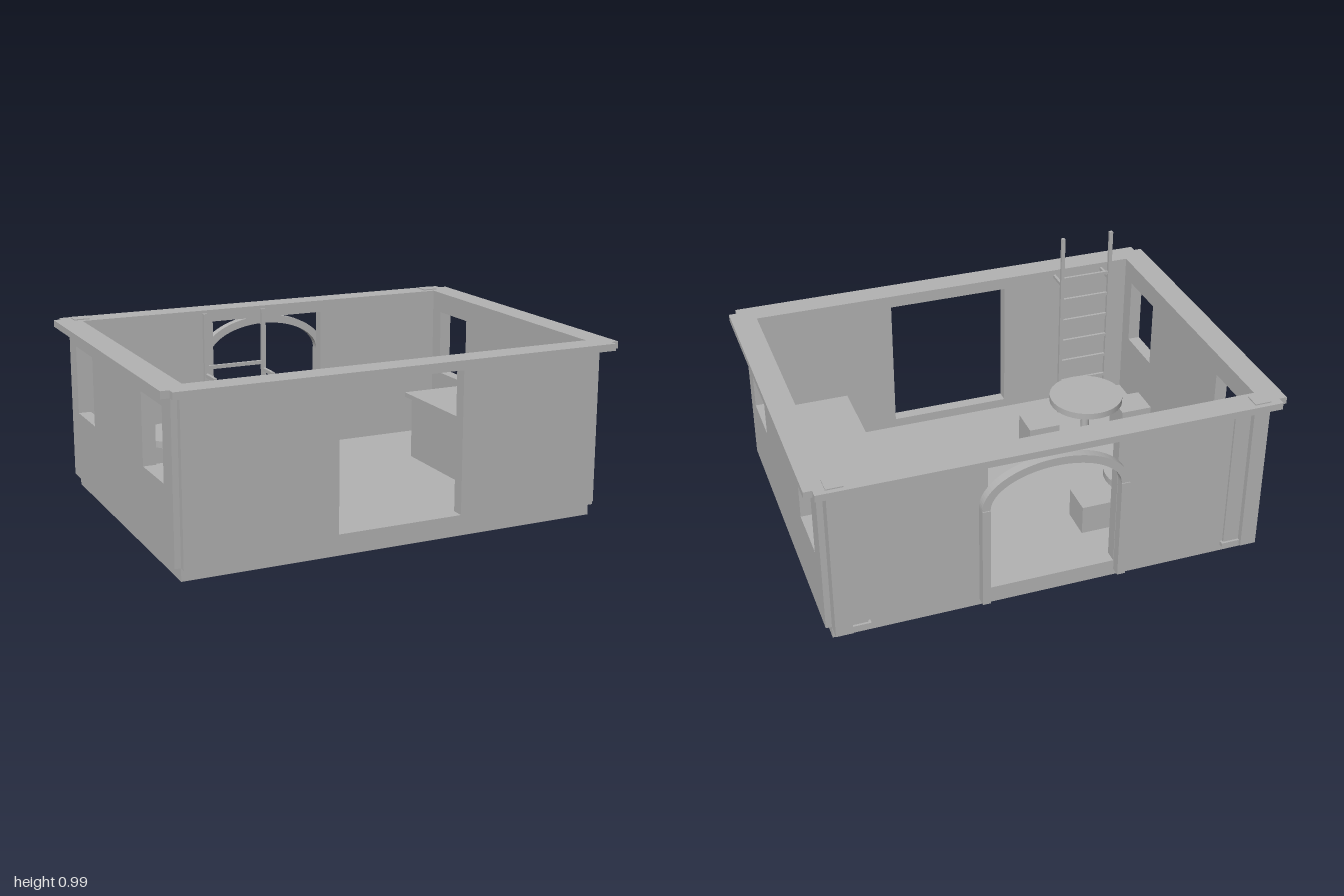
import * as THREE from 'three';

const stone = new THREE.MeshStandardMaterial({ color: 0xb2b2b2 });
stone.name = 'grey';

export function createModel() {
  const root = new THREE.Group();
  root.name = 'openRoofRoom';

  const add = (name, geometry, parent = root) => {
    const mesh = new THREE.Mesh(geometry, stone);
    mesh.name = name;
    parent.add(mesh);
    return mesh;
  };
  // box given by its minimum and maximum on each axis
  const box = (name, x0, x1, y0, y1, z0, z1, parent) => {
    const mesh = add(name, new THREE.BoxGeometry(x1 - x0, y1 - y0, z1 - z0), parent);
    mesh.position.set((x0 + x1) / 2, (y0 + y1) / 2, (z0 + z1) / 2);
    return mesh;
  };
  const rectangle = (Type, x0, x1, y0, y1) =>
    new Type([[x0, y0], [x1, y0], [x1, y1], [x0, y1]].map(([x, y]) => new THREE.Vector2(x, y)));
  const extrude = (shape, depth) =>
    new THREE.ExtrudeGeometry(shape, { depth, bevelEnabled: false, curveSegments: 24 });

  // floor slab
  box('floor', -0.92, 0.92, 0, 0.058, -0.67, 0.67);

  // front and back walls with a wide doorway
  for (const [name, z] of [['frontWall', 0.645], ['backWall', -0.7]]) {
    const shape = rectangle(THREE.Shape, -0.92, 0.92, 0.055, 0.74);
    shape.holes.push(rectangle(THREE.Path, -0.275, 0.275, 0.1, 0.705));
    add(name, extrude(shape, 0.055)).position.z = z;
  }

  // side walls with two windows each
  for (const [name, x] of [['leftWall', 0.89], ['rightWall', -0.945]]) {
    const shape = rectangle(THREE.Shape, -0.67, 0.67, 0.055, 0.74);
    shape.holes.push(rectangle(THREE.Path, -0.57, -0.325, 0.362, 0.665));
    shape.holes.push(rectangle(THREE.Path, 0.325, 0.57, 0.362, 0.665));
    const wall = add(name, extrude(shape, 0.055));
    wall.rotation.y = Math.PI / 2;
    wall.position.x = x;
  }

  // coping on top of the walls, notched at its corners
  const X = 1, Z = 0.755, nx = 0.965, nz = 0.72;
  const coping = new THREE.Shape([
    [nx, -Z], [nx, -nz], [X, -nz], [X, nz], [nx, nz], [nx, Z],
    [-nx, Z], [-nx, nz], [-X, nz], [-X, -nz], [-nx, -nz], [-nx, -Z],
  ].map(([x, y]) => new THREE.Vector2(x, y)));
  coping.holes.push(rectangle(THREE.Path, -0.89, 0.89, -0.645, 0.645));
  const cap = add('coping', extrude(coping, 0.03));
  cap.rotation.x = -Math.PI / 2;
  cap.position.y = 0.73;

  // back posts, flat strips and door jambs, mirrored
  for (const s of [-1, 1]) {
    const pair = (name, a, b, y0, y1, z0, z1) =>
      box(name, Math.min(s * a, s * b), Math.max(s * a, s * b), y0, y1, z0, z1);
    pair('backPost', 0.85, 0.92, 0.055, 0.765, -0.735, -0.67);
    pair('backStrip', 0.78, 0.85, 0.075, 0.7, -0.71, -0.69);
    pair('backStripBase', 0.77, 0.85, 0.055, 0.075, -0.72, -0.69);
    pair('doorJamb', 0.277, 0.312, 0.055, 0.515, -0.742, -0.69);
  }

  // elliptical arch over the back doorway
  const arch = new THREE.Shape();
  arch.moveTo(0.312, 0);
  arch.absellipse(0, 0, 0.312, 0.185, 0, Math.PI, false, 0);
  arch.lineTo(-0.277, 0);
  arch.absellipse(0, 0, 0.277, 0.15, Math.PI, 0, true, 0);
  add('doorArch', extrude(arch, 0.04)).position.set(0, 0.515, -0.738);

  // round tables, each with two cube stools
  for (const z of [0.28, -0.36]) {
    const set = new THREE.Group();
    set.name = 'tableSet';
    set.position.set(-0.55, 0, z);
    root.add(set);
    add('tableTop', new THREE.CylinderGeometry(0.17, 0.17, 0.03, 40), set).position.y = 0.267;
    add('tableLeg', new THREE.CylinderGeometry(0.02, 0.02, 0.2, 16), set).position.y = 0.155;
    for (const s of [-1, 1]) {
      add('stool', new THREE.BoxGeometry(0.145, 0.135, 0.145), set).position.set(s * 0.232, 0.123, 0);
    }
  }

  // counter against the left wall
  box('counterBody', 0.56, 0.89, 0.055, 0.345, -0.25, 0.49);
  box('counterTop', 0.535, 0.89, 0.345, 0.366, -0.272, 0.508);

  // ladder with short arms towards the front wall
  const ladder = new THREE.Group();
  ladder.name = 'ladder';
  root.add(ladder);
  for (const x of [-0.745, -0.51]) {
    box('ladderRail', x - 0.008, x + 0.008, 0.055, 0.985, 0.505, 0.521, ladder);
    box('ladderArm', x - 0.006, x + 0.006, 0.742, 0.756, 0.515, 0.61, ladder);
  }
  for (let i = 0; i < 7; i++) {
    const y = 0.778 - i * 0.11;
    box('ladderRung', -0.745, -0.51, y - 0.007, y + 0.007, 0.507, 0.519, ladder);
  }

  return root;
}
